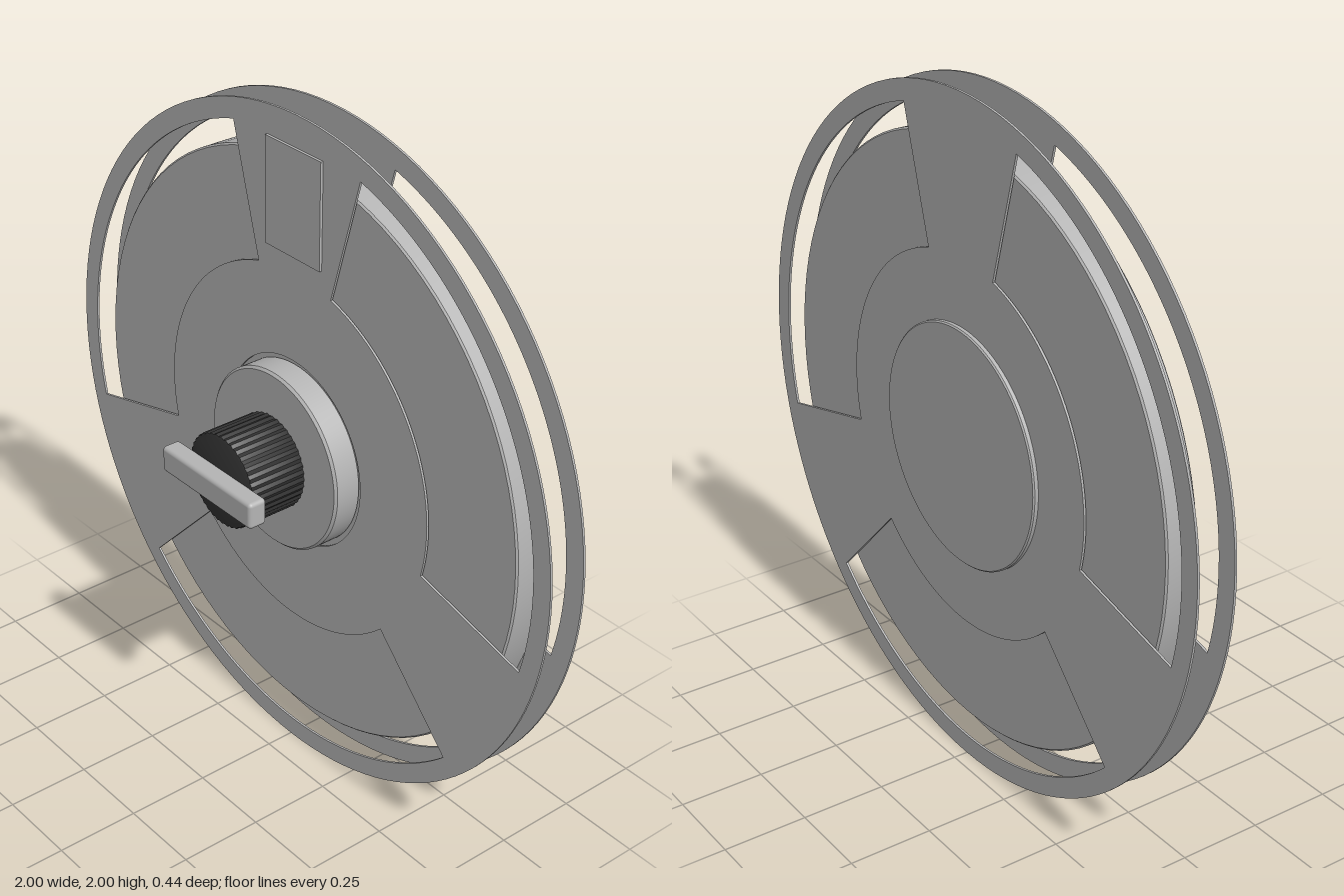
import * as THREE from 'three';
import { RoundedBoxGeometry } from 'three/addons/geometries/RoundedBoxGeometry.js';
import { toCreasedNormals } from 'three/addons/utils/BufferGeometryUtils.js';

const metal = new THREE.MeshStandardMaterial({ color: 0xb4b4b4 });
metal.name = 'greyMetal';
const rubber = new THREE.MeshStandardMaterial({ color: 0x333333 });
rubber.name = 'blackKnob';

export function createModel() {
  const model = new THREE.Group();
  model.name = 'reel';
  // All parts share one axis, along z at y = 1
  const add = (name, geometry, material, y = 1, z = 0) => {
    const mesh = new THREE.Mesh(geometry, material);
    mesh.name = name;
    mesh.position.set(0, y, z);
    model.add(mesh);
  };

  // Solid disc between two depths with small chamfers
  const disc = (r, back, front, c) => {
    const profile = [[0, back], [r - c, back], [r, back + c], [r, front - c], [r - c, front], [0, front]];
    const g = new THREE.LatheGeometry(profile.map(([x, y]) => new THREE.Vector2(x, y)), 96);
    g.rotateX(Math.PI / 2);
    return toCreasedNormals(g, 0.5);
  };

  // Thin flange with three windows between its spokes
  const flange = (holeRadius) => {
    const shape = new THREE.Shape().absarc(0, 0, 1, 0, Math.PI * 2);
    const half = THREE.MathUtils.degToRad(15.8);
    for (let i = 0; i < 3; i++) {
      const spoke = Math.PI / 2 + (i * Math.PI * 2) / 3;
      const a = spoke + half;
      const b = spoke + (Math.PI * 2) / 3 - half;
      const win = new THREE.Path();
      win.absarc(0, 0, 0.94, a, b, false);
      win.absarc(0, 0, 0.55, b, a, true);
      win.closePath();
      shape.holes.push(win);
    }
    if (holeRadius) shape.holes.push(new THREE.Path().absarc(0, 0, holeRadius, 0, Math.PI * 2));
    const g = new THREE.ExtrudeGeometry(shape, { depth: 0.007, bevelEnabled: false, curveSegments: 64 });
    return toCreasedNormals(g, 0.5);
  };

  add('frontFlange', flange(0.285), metal, 1, -0.092);
  add('rearFlange', flange(0), metal, 1, -0.207);
  add('woundRoll', disc(0.87, -0.196, -0.098, 0.005), metal);
  add('backPlate', disc(0.353, -0.222, -0.2, 0.004), metal);
  add('hub', disc(0.27, -0.1, -0.012, 0.007), metal);
  add('label', new THREE.BoxGeometry(0.225, 0.31, 0.008), metal, 1.755, -0.081);

  // Finely ribbed knob
  const ribs = 40;
  const outline = [];
  for (let i = 0; i < ribs * 4; i++) {
    const t = (i / (ribs * 4)) * Math.PI * 2;
    const r = 0.134 + 0.002 * Math.cos(t * ribs);
    outline.push(new THREE.Vector2(r * Math.cos(t), r * Math.sin(t)));
  }
  const knob = new THREE.ExtrudeGeometry(new THREE.Shape(outline), {
    depth: 0.17, bevelThickness: 0.005, bevelSize: 0.004, bevelSegments: 2,
  });
  add('knob', toCreasedNormals(knob, 0.6), rubber, 1, -0.008);

  // Turning bar across the knob
  add('handle', new RoundedBoxGeometry(0.39, 0.08, 0.058, 3, 0.012), metal, 1, 0.193);

  return model;
}
